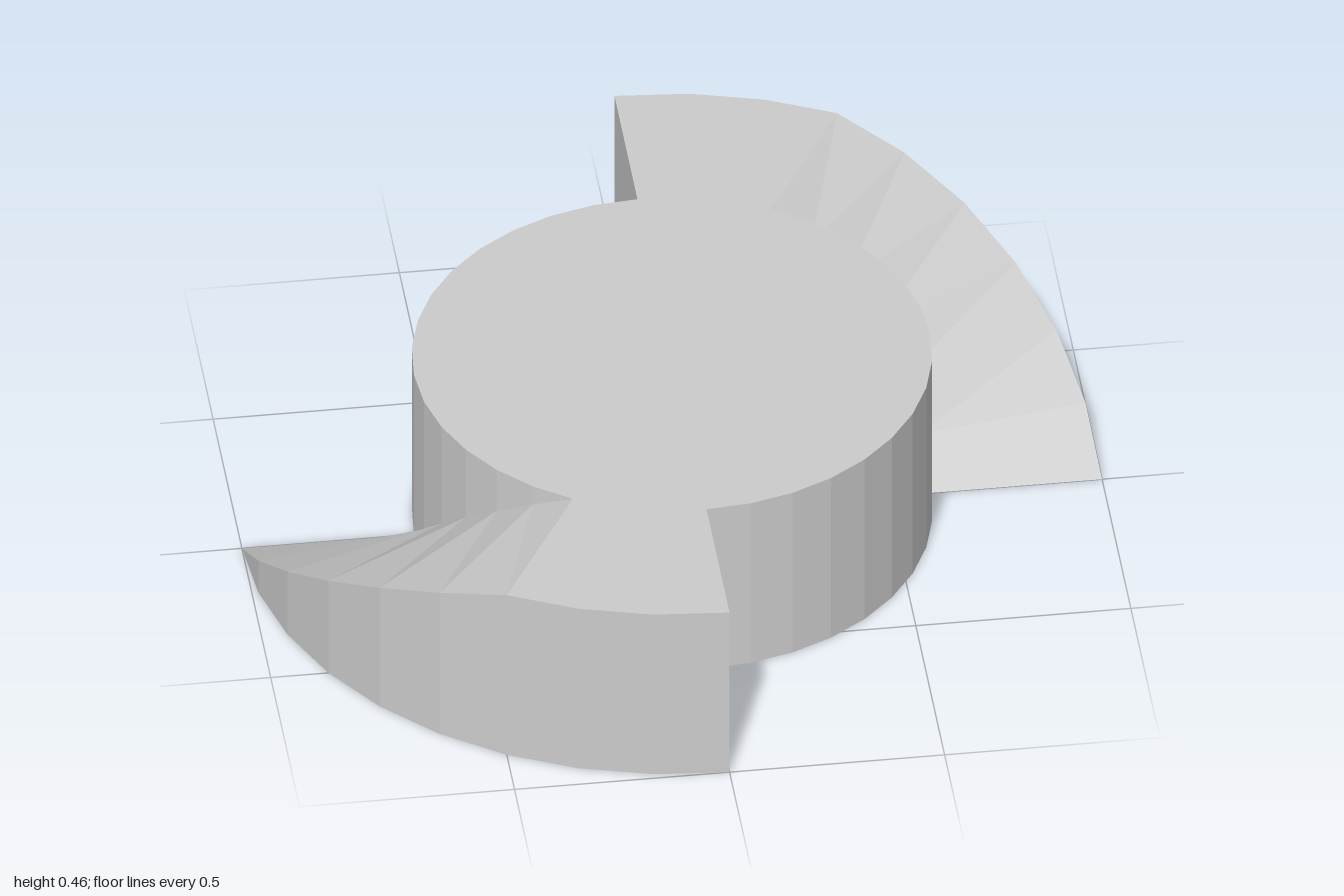
import * as THREE from 'three';

const HUB_R = 0.6, RIM_R = 1, HEIGHT = 0.46;
const STEP = Math.PI / 18; // ten-degree facets throughout
const RAMP_STEPS = 6, WING_STEPS = 9;

// Quarter-ring wing: ramps up over 60 degrees, then stays flat to a vertical end face
function wingGeometry() {
  const positions = [];
  const quad = (a, b, c, d) => positions.push(...a, ...b, ...c, ...a, ...c, ...d);

  const section = (i) => {
    const angle = i * STEP;
    const ramp = Math.sin(Math.min(i, RAMP_STEPS) * STEP) / Math.sin(RAMP_STEPS * STEP);
    const point = (r, y) => [r * Math.cos(angle), y, -r * Math.sin(angle)];
    return {
      innerLow: point(HUB_R, 0), outerLow: point(RIM_R, 0),
      innerTop: point(HUB_R, HEIGHT * ramp), outerTop: point(RIM_R, HEIGHT * ramp),
    };
  };

  for (let i = 0; i < WING_STEPS; i++) {
    const a = section(i), b = section(i + 1);
    quad(a.innerTop, a.outerTop, b.outerTop, b.innerTop); // top
    quad(a.outerLow, b.outerLow, b.outerTop, a.outerTop); // rim
    quad(a.innerLow, b.innerLow, b.outerLow, a.outerLow); // underside
  }
  const end = section(WING_STEPS);
  quad(end.innerLow, end.innerTop, end.outerTop, end.outerLow); // end face

  const geometry = new THREE.BufferGeometry();
  geometry.setAttribute('position', new THREE.Float32BufferAttribute(positions, 3));
  geometry.computeVertexNormals();
  return geometry;
}

export function createModel() {
  const model = new THREE.Group();
  model.name = 'rampedCam';
  const material = new THREE.MeshStandardMaterial({ color: 0xcccccc, flatShading: true });

  // Central disc
  const hub = new THREE.Mesh(new THREE.CylinderGeometry(HUB_R, HUB_R, HEIGHT, 36), material);
  hub.name = 'hub';
  hub.position.y = HEIGHT / 2;
  model.add(hub);

  // Two opposite ramped wings
  const geometry = wingGeometry();
  ['backLeftWing', 'frontRightWing'].forEach((name, i) => {
    const wing = new THREE.Mesh(geometry, material);
    wing.name = name;
    wing.rotation.y = i * Math.PI;
    model.add(wing);
  });
  return model;
}
